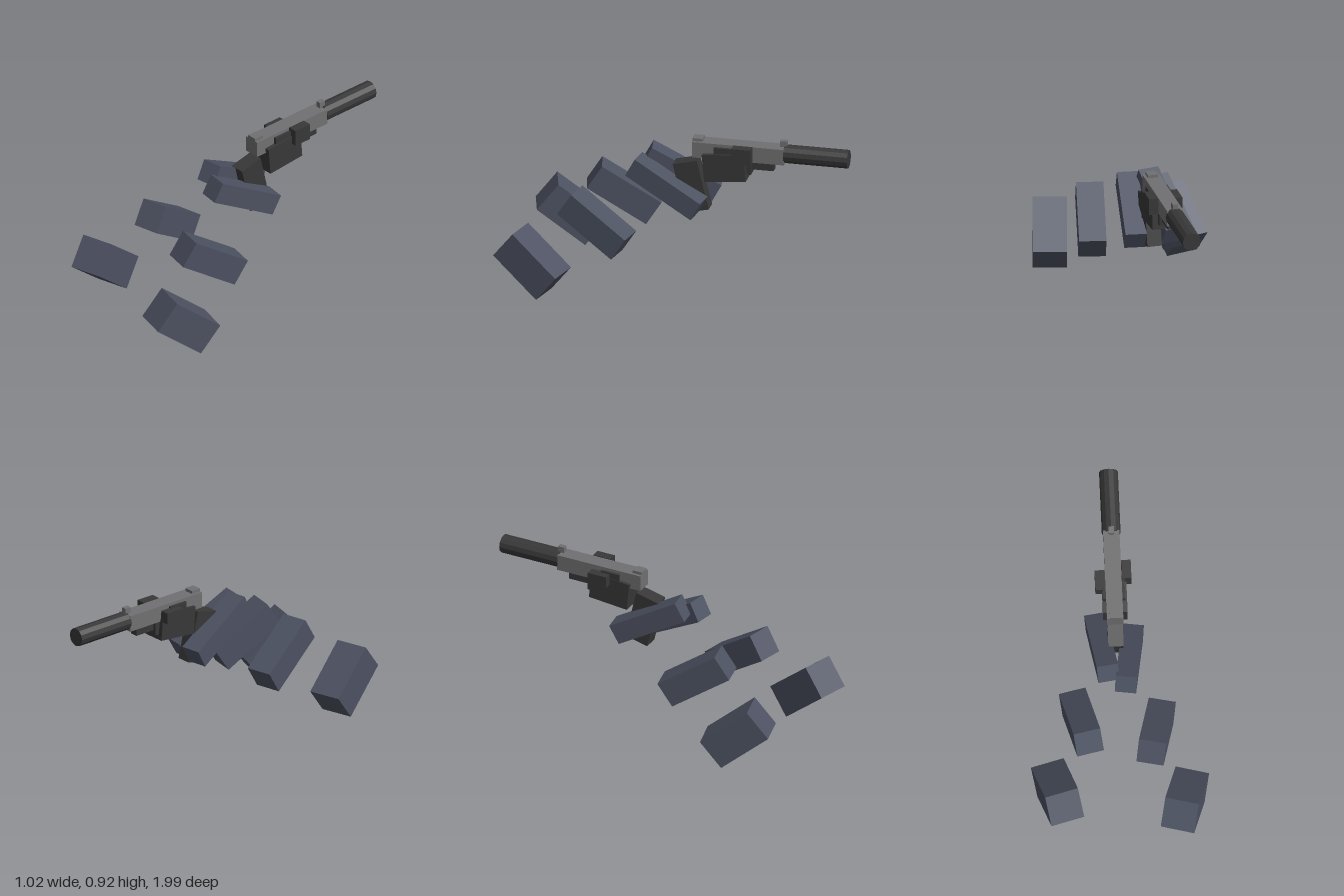
import * as THREE from 'three';

const paint = (color) => new THREE.MeshStandardMaterial({ color, flatShading: true });

export function createModel() {
  const model = new THREE.Group();
  const sleeve = paint(0x4d5262);
  const steel = paint(0x707072);
  const dark = paint(0x383838);

  function box(name, material, size, position, pitch = 0, yaw = 0) {
    const mesh = new THREE.Mesh(new THREE.BoxGeometry(...size), material);
    mesh.name = name;
    mesh.position.set(...position);
    mesh.rotation.set(pitch, yaw, 0, 'YXZ');
    model.add(mesh);
    return mesh;
  }

  // Arms: three separate blocks per side, spreading outward towards the front
  const arms = [
    { name: 'Hand', size: [0.123, 0.122, 0.455], pitch: 0.5, yaw: 0.14,
      left: [0.0745, 0.605, 0.053], right: [-0.08, 0.64, -0.007] },
    { name: 'Forearm', size: [0.157, 0.16, 0.405], pitch: 0.58, yaw: 0.21,
      left: [0.212, 0.4, 0.43], right: [-0.213, 0.431, 0.365] },
    { name: 'UpperArm', size: [0.196, 0.197, 0.355], pitch: 0.68, yaw: 0.257,
      left: [0.362, 0.189, 0.775], right: [-0.364, 0.223, 0.71] },
  ];
  for (const { name, size, pitch, yaw, left, right } of arms) {
    box('left' + name, sleeve, size, left, -pitch, -yaw);
    box('right' + name, sleeve, size, right, -pitch, yaw);
  }

  // Slide and sights
  box('slide', steel, [0.094, 0.095, 0.54], [0, 0.833, -0.36]);
  box('rearSight', steel, [0.06, 0.02, 0.06], [0, 0.888, -0.12]);
  box('frontSight', steel, [0.03, 0.035, 0.04], [0, 0.903, -0.62]);

  // Barrel cylinder pointing to the back
  const barrel = new THREE.Mesh(new THREE.CylinderGeometry(0.054, 0.054, 0.375, 12), dark);
  barrel.name = 'barrel';
  barrel.rotation.x = Math.PI / 2;
  barrel.position.set(0, 0.84, -0.8125);
  model.add(barrel);

  // Grip, frame and the parts fixed to the frame
  box('grip', dark, [0.088, 0.304, 0.145], [0, 0.6, -0.083], 0.235);
  box('frame', dark, [0.14, 0.165, 0.245], [0.004, 0.745, -0.283], 0.09);
  box('sidePanel', dark, [0.126, 0.073, 0.12], [0, 0.826, -0.28]);
  box('leftSideBlock', dark, [0.055, 0.098, 0.112], [0.076, 0.834, -0.39]);
  box('rightSideBlock', dark, [0.055, 0.068, 0.12], [-0.078, 0.819, -0.34]);
  box('frontGuard', dark, [0.08, 0.085, 0.06], [0, 0.748, -0.405]);
  box('lowerRail', dark, [0.05, 0.045, 0.16], [0, 0.757, -0.485]);

  return model;
}
